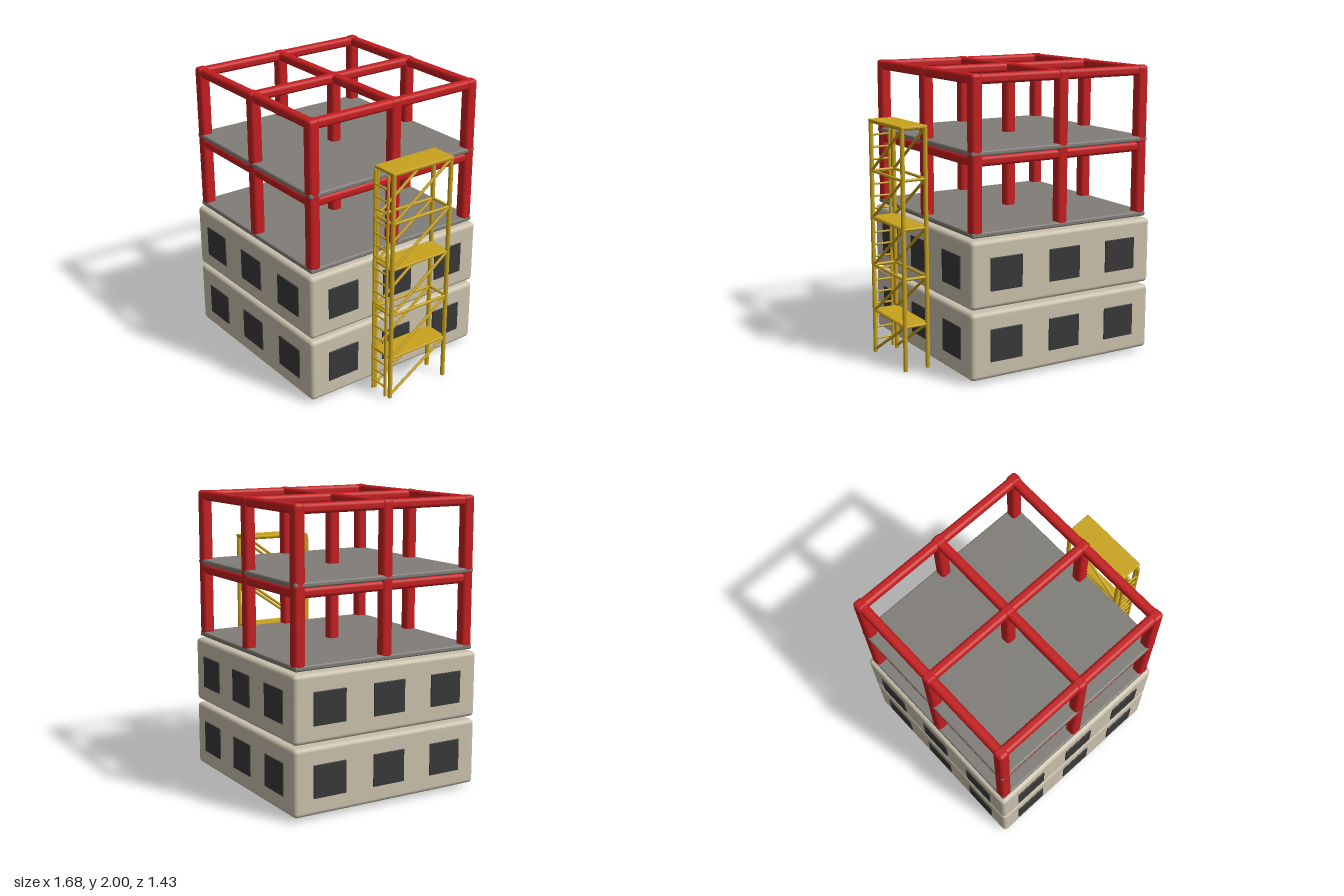
import * as THREE from 'three';
import { RoundedBoxGeometry } from 'three/addons/geometries/RoundedBoxGeometry.js';

const material = (name, color) => {
  const m = new THREE.MeshStandardMaterial({ color });
  m.name = name;
  return m;
};

export function createModel() {
  const cream = material('cream wall', 0xc9c0ac);
  const dark = material('dark window', 0x383838);
  const grey = material('grey concrete', 0x807d78);
  const red = material('red steel', 0xc41e20);
  const yellow = material('yellow scaffold', 0xc9a31c);

  const model = new THREE.Group();
  model.name = 'buildingUnderConstruction';
  const addGroup = (name, x) => {
    const g = new THREE.Group();
    g.name = name;
    g.position.x = x;
    model.add(g);
    return g;
  };
  const addMesh = (parent, name, geometry, mat, x, y, z) => {
    const m = new THREE.Mesh(geometry, mat);
    m.name = name;
    m.position.set(x, y, z);
    parent.add(m);
    return m;
  };
  // Round bar between two points
  const up = new THREE.Vector3(0, 1, 0);
  const rod = (parent, name, a, b, radius, mat) => {
    const p = new THREE.Vector3(...a);
    const d = new THREE.Vector3(...b).sub(p);
    const mid = p.clone().addScaledVector(d, 0.5);
    const m = addMesh(parent, name, new THREE.CylinderGeometry(radius, radius, d.length(), 10),
      mat, mid.x, mid.y, mid.z);
    m.quaternion.setFromUnitVectors(up, d.normalize());
  };

  const building = addGroup('building', -0.123);

  // Finished storeys with three windows on each side
  const W = 1.416;
  const storeyGeo = new RoundedBoxGeometry(W, 0.452, W, 4, 0.03);
  const windowGeo = new RoundedBoxGeometry(0.24, 0.22, 0.0095, 2, 0.003);
  for (const y of [0.251, 0.725]) {
    addMesh(building, 'storey', storeyGeo, cream, 0, y, 0);
    for (let side = 0; side < 4; side++) {
      const wall = new THREE.Group();
      wall.name = 'windowRow';
      wall.rotation.y = side * Math.PI / 2;
      building.add(wall);
      for (const x of [-0.45, 0, 0.45]) {
        addMesh(wall, 'window', windowGeo, dark, x, y, W / 2 + 0.0045);
      }
    }
  }

  // Floor slabs of the open frame
  const slabGeo = new RoundedBoxGeometry(1.37, 0.035, 1.37, 3, 0.012);
  for (const y of [0.983, 1.502]) addMesh(building, 'floorSlab', slabGeo, grey, 0, y, 0);

  // Red columns on a three by three grid
  const grid = [-0.645, 0, 0.645];
  const columnGeo = new RoundedBoxGeometry(0.08, 1.022, 0.08, 3, 0.024);
  for (const x of grid) {
    for (const z of grid) addMesh(building, 'column', columnGeo, red, x, 1.489, z);
  }

  // Red beams in both directions at two levels
  const beamGeo = new RoundedBoxGeometry(1.34, 0.066, 0.066, 3, 0.024);
  for (const y of [1.45, 1.964]) {
    for (const p of grid) {
      addMesh(building, 'beamAcross', beamGeo, red, 0, y, p);
      addMesh(building, 'beamDeep', beamGeo, red, p, y, 0).rotation.y = Math.PI / 2;
    }
  }

  // Scaffold tower
  const tower = addGroup('scaffoldTower', 0.738);
  const hx = 0.083, hz = 0.235;
  const levels = [0.305, 0.63, 0.965, 1.29, 1.625];
  for (const x of [-hx, hx]) {
    for (const z of [-hz, hz]) rod(tower, 'towerLeg', [x, 0, z], [x, 1.63, z], 0.015, yellow);
  }
  levels.forEach((y, i) => {
    const below = i ? levels[i - 1] : 0.02;
    for (const s of [-1, 1]) {
      rod(tower, 'sideRail', [s * hx, y, -hz], [s * hx, y, hz], 0.01, yellow);
      rod(tower, 'endRail', [-hx, y, s * hz], [hx, y, s * hz], 0.01, yellow);
      rod(tower, 'diagonalBrace', [s * hx, below, hz], [s * hx, y, -hz], 0.01, yellow);
    }
  });

  // Platforms at every second level
  const platformGeo = new THREE.BoxGeometry(0.17, 0.014, 0.47);
  for (const y of [0.305, 0.965]) addMesh(tower, 'platform', platformGeo, yellow, 0, y + 0.005, 0);
  addMesh(tower, 'topPlatform', new RoundedBoxGeometry(0.194, 0.02, 0.5, 2, 0.007),
    yellow, 0, 1.633, 0);

  // Ladder on the front of the tower
  const lz = 0.265, lx = 0.066;
  for (const x of [-lx, lx]) rod(tower, 'ladderRail', [x, 0.015, lz], [x, 1.625, lz], 0.01, yellow);
  for (let i = 1; i <= 18; i++) {
    const y = i * 0.085;
    rod(tower, 'ladderRung', [-lx, y, lz], [lx, y, lz], 0.007, yellow);
  }

  return model;
}
